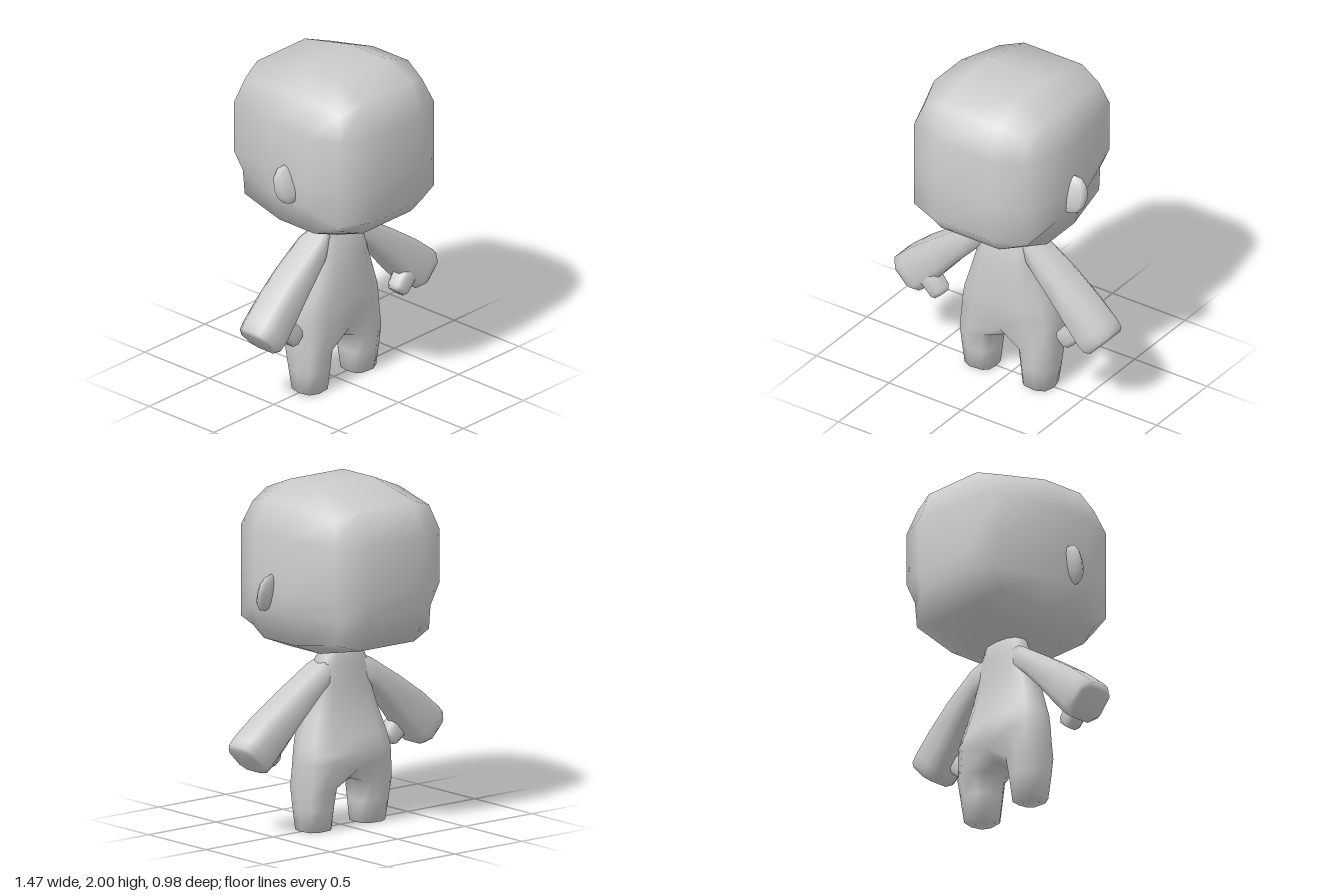
import * as THREE from 'three';
import { mergeVertices } from 'three/addons/utils/BufferGeometryUtils.js';

const material = new THREE.MeshStandardMaterial({ color: 0xcccccc, side: THREE.DoubleSide });

// Rounded-square sine and cosine for boxy cross-sections
const soft = (v, p = 0.75) => Math.sign(v) * Math.pow(Math.abs(v), p);

function geometryFrom(points, index) {
  const g = new THREE.BufferGeometry();
  g.setAttribute('position', new THREE.Float32BufferAttribute(points.flat(), 3));
  g.setIndex(index);
  g.computeVertexNormals();
  return g;
}

// Joins a lower ring to an upper ring of vertex indices
function bridge(index, low, high) {
  low.forEach((a, i) => {
    const j = (i + 1) % low.length;
    index.push(a, high[i], low[j], high[i], high[j], low[j]);
  });
}

function fan(index, ring, centre, flip) {
  ring.forEach((a, i) => {
    const b = ring[(i + 1) % ring.length];
    if (flip) index.push(a, b, centre);
    else index.push(b, a, centre);
  });
}

// Limb from sections [topX, topY, bottomX, bottomY, zFront, zBack]
function limb(sections, n = 8) {
  const points = [], index = [];
  const add = (p) => points.push(p) - 1;
  let last = null;
  for (const [ax, ay, bx, by, zf, zb] of sections) {
    const ring = [];
    for (let i = 0; i < n; i++) {
      const t = ((i + 0.5) / n) * Math.PI * 2;
      const c = soft(Math.cos(t), 0.6) * 1.05, s = soft(Math.sin(t), 0.6) * 1.05;
      ring.push(add([
        (ax + bx) / 2 + (c * (ax - bx)) / 2,
        (ay + by) / 2 + (c * (ay - by)) / 2,
        (zf + zb) / 2 - (s * (zf - zb)) / 2,
      ]));
    }
    if (last) bridge(index, last, ring);
    last = ring;
  }
  const [ax, ay, bx, by, zf, zb] = sections[sections.length - 1];
  fan(index, last, add([(ax + bx) / 2, (ay + by) / 2, (zf + zb) / 2]), false);
  return geometryFrom(points, index);
}

function mirrored(geometry) {
  const g = geometry.clone().scale(-1, 1, 1);
  const ix = g.index.array;
  for (let i = 0; i < ix.length; i += 3) [ix[i], ix[i + 1]] = [ix[i + 1], ix[i]];
  g.computeVertexNormals();
  return g;
}

// Head: subdivided box with pulled-in edges and corners
function headGeometry() {
  let g = new THREE.BoxGeometry(2, 2, 2, 3, 4, 3);
  g.deleteAttribute('uv');
  g.deleteAttribute('normal');
  g = mergeVertices(g);
  const p = g.attributes.position;
  for (let v = 0; v < p.count; v++) {
    const i = Math.round((p.getX(v) + 1) * 1.5);
    const j = Math.round((p.getY(v) + 1) * 2);
    const k = Math.round((p.getZ(v) + 1) * 1.5);
    const ex = i % 3 === 0, ey = j % 4 === 0, ez = k % 3 === 0;
    const n = ex + ey + ez - 1;
    let x = (i > 1 ? 1 : -1) * (ex ? [0.465, 0.39, 0.345][n] : 0.2);
    let y = j === 4 ? [2, 1.92, 1.87][n] : j === 0 ? [1.03, 1.105, 1.15][n] : [0, 1.29, 1.42, 1.73][j];
    let z = k === 3 ? [0.49, 0.41, 0.36][n] : k === 0 ? [-0.49, -0.41, -0.37][n] : [0, -0.06, 0.21][k];
    if (j === 1 && k === 3) y = 1.2;
    // Lower back tapers inward
    if (j === 1 && k === 0) { z += 0.02; if (ex) x *= 0.87; }
    if (j === 1 && k === 1 && ex) x *= 0.95;
    p.setXYZ(v, x, y, z);
  }
  g.computeVertexNormals();
  return g;
}

// Ear: flattened, tilted low-poly ellipsoid
function earGeometry() {
  const g = new THREE.SphereGeometry(1, 8, 6);
  const p = g.attributes.position;
  for (let v = 0; v < p.count; v++) {
    const x = p.getX(v), y = p.getY(v), z = p.getZ(v);
    p.setXYZ(v, 0.47 + 0.095 * soft(x, 0.85), 1.402 + 0.112 * y, 0.08 + 0.04 * z - 0.028 * y - 0.02 * x);
  }
  g.computeVertexNormals();
  return g;
}

// Torso and legs as one continuous skin
function bodyGeometry() {
  const points = [], index = [], n = 12;
  const add = (p) => points.push(p) - 1;
  // y, half width, front z, back z
  const torso = [
    [0.4, 0.318, 0.14, -0.182], [0.45, 0.312, 0.143, -0.182], [0.53, 0.297, 0.146, -0.15],
    [0.66, 0.25, 0.146, -0.115], [0.8, 0.205, 0.14, -0.09], [0.93, 0.185, 0.115, -0.092],
    [1.0, 0.15, 0.078, -0.08], [1.07, 0.13, 0.07, -0.07],
  ];
  const rings = torso.map(([y, w, zf, zb], r) => Array.from({ length: n }, (_, i) => {
    const t = (i / n) * Math.PI * 2, s = soft(Math.sin(t));
    const middle = r === 0 && i % 6 === 3;
    return add([w * soft(Math.cos(t)), middle ? 0.345 : y, (s > 0 ? s * zf : -s * zb) * (middle ? 0.85 : 1)]);
  }));
  for (let r = 1; r < rings.length; r++) bridge(index, rings[r - 1], rings[r]);
  const top = rings[rings.length - 1];
  fan(index, top, add([0, 1.07, 0]), false);

  // Crotch points close the inner side of each leg opening
  const crotch = [add([0, 0.28, 0.06]), add([0, 0.275, -0.01]), add([0, 0.285, -0.08])];
  // y, outer x, inner x, front z, back z
  const leg = [[0.25, 0.318, 0.085, 0.125, -0.14], [0.13, 0.308, 0.095, 0.112, -0.117], [0, 0.295, 0.105, 0.095, -0.095]];
  for (const side of [1, -1]) {
    const start = side > 0 ? 9 : 3;
    let upper = Array.from({ length: 7 }, (_, k) => rings[0][(start + k) % n]);
    upper = upper.concat(side > 0 ? crotch : [...crotch].reverse());
    for (const [y, xo, xi, zf, zb] of leg) {
      const ring = upper.map((_, k) => {
        const deg = (k < 7 ? -120 + 40 * k : 150 + 30 * (k - 7)) + (side > 0 ? 0 : 180);
        const t = (deg * Math.PI) / 180, s = soft(Math.sin(t));
        return add([side * (xo + xi) / 2 + soft(Math.cos(t)) * (xo - xi) / 2, y, s > 0 ? s * zf : -s * zb]);
      });
      bridge(index, ring, upper);
      upper = ring;
    }
    fan(index, upper, add([side * 0.2, 0, 0]), true);
  }
  return geometryFrom(points, index);
}

export function createModel() {
  const model = new THREE.Group();
  const part = (name, geometry) => {
    const mesh = new THREE.Mesh(geometry, material);
    mesh.name = name;
    model.add(mesh);
  };
  part('head', headGeometry());
  part('body', bodyGeometry());

  const arm = limb([
    [0.11, 0.99, 0.14, 0.82, 0.08, -0.07],
    [0.19, 0.95, 0.2, 0.785, 0.11, -0.09],
    [0.4, 0.815, 0.33, 0.65, 0.13, -0.095],
    [0.58, 0.69, 0.44, 0.52, 0.145, -0.088],
    [0.7, 0.59, 0.53, 0.42, 0.155, -0.082],
    [0.737, 0.553, 0.57, 0.388, 0.15, -0.075],
    [0.732, 0.52, 0.61, 0.39, 0.135, -0.06],
  ]);
  const thumb = limb([
    [0.56, 0.47, 0.48, 0.56, 0.14, 0.03],
    [0.51, 0.425, 0.435, 0.52, 0.145, 0.03],
    [0.472, 0.392, 0.395, 0.47, 0.145, 0.035],
    [0.45, 0.387, 0.39, 0.44, 0.13, 0.05],
  ]);
  const pairs = { Ear: earGeometry(), Arm: arm, Thumb: thumb };
  for (const [name, geometry] of Object.entries(pairs)) {
    part('left' + name, geometry);
    part('right' + name, mirrored(geometry));
  }
  return model;
}
